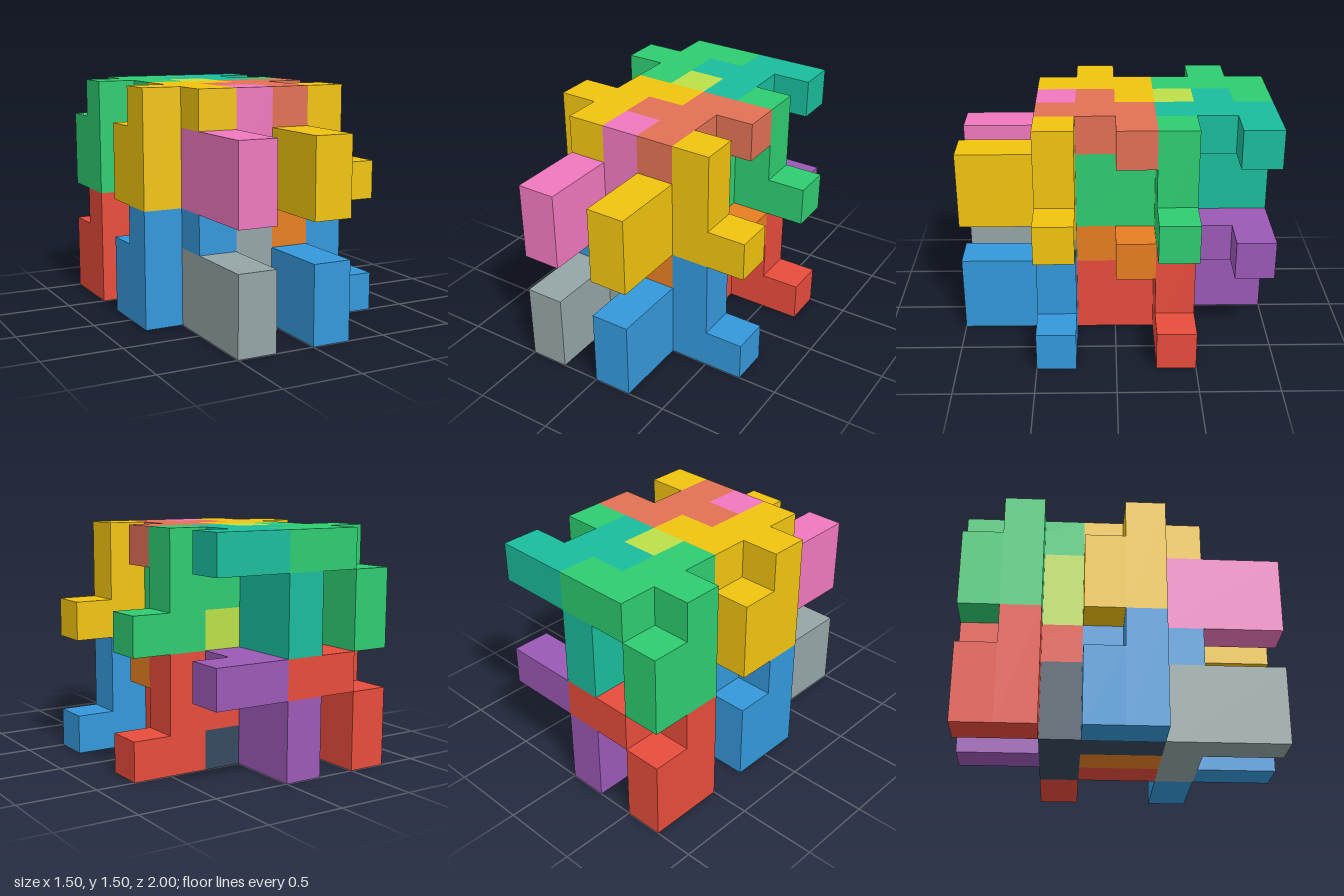
import * as THREE from 'three';
import { mergeGeometries } from 'three/addons/utils/BufferGeometryUtils.js';

const CELL = 0.25;

// Each interlocking piece is a list of cell ranges: [x0, x1, y0, y1, z0, z1]
const FRAME = [
  [0, 1, 0, 2, 0, 1], [0, 1, 0, 3, 1, 2],                     // left clasp
  [1, 2, 2, 3, 0, 3], [2, 3, 2, 3, 0, 1],                     // upper bar
  [3, 4, 0, 2, 3, 5], [3, 4, 1, 2, 2, 3],                     // forward prong
  [4, 5, 0, 3, 2, 3], [5, 6, 0, 1, 2, 3],                     // right post and foot
];
const HOOK = [
  [2, 3, 0, 2, 0, 2],                                         // stem
  [3, 5, 2, 3, 0, 1], [2, 4, 2, 3, 1, 2], [3, 4, 2, 3, 2, 3], // top cross
];
const KEY = [
  [1, 2, 0, 2, 2, 5],                                         // forward prong
  [2, 3, 0, 3, 2, 3], [3, 4, 0, 1, 2, 3],                     // post and toe
];

// Same three shapes in every unit; only place and colours change
const UNITS = [
  { name: 'lowerFront', y: 0, z: 3, colors: [0x3498db, 0xe67e22, 0x95a5a6] },
  { name: 'lowerBack', y: 0, z: 0, colors: [0xe74c3c, 0x9b59b6, 0x34495e] },
  { name: 'upperFront', y: 3, z: 3, colors: [0xf1c40f, 0xe17055, 0xf078be] },
  { name: 'upperBack', y: 3, z: 0, colors: [0x2ecc71, 0x1abc9c, 0xbae048] },
];

function block([x0, x1, y0, y1, z0, z1]) {
  const g = new THREE.BoxGeometry((x1 - x0) * CELL, (y1 - y0) * CELL, (z1 - z0) * CELL);
  return g.translate((x0 + x1) * CELL / 2, (y0 + y1) * CELL / 2, (z0 + z1) * CELL / 2);
}

function piece(name, blocks, color) {
  const mesh = new THREE.Mesh(
    mergeGeometries(blocks.map(block)),
    new THREE.MeshStandardMaterial({ color })
  );
  mesh.name = name;
  return mesh;
}

export function createModel() {
  const model = new THREE.Group();
  model.name = 'interlockingBlocks';
  for (const { name, y, z, colors } of UNITS) {
    const unit = new THREE.Group();
    unit.name = name + 'Unit';
    unit.add(
      piece(name + 'Frame', FRAME, colors[0]),
      piece(name + 'Hook', HOOK, colors[1]),
      piece(name + 'Key', KEY, colors[2])
    );
    // The whole grid is 6 x 6 x 8 cells, centred on x and z
    unit.position.set(-3 * CELL, y * CELL, (z - 4) * CELL);
    model.add(unit);
  }
  return model;
}
